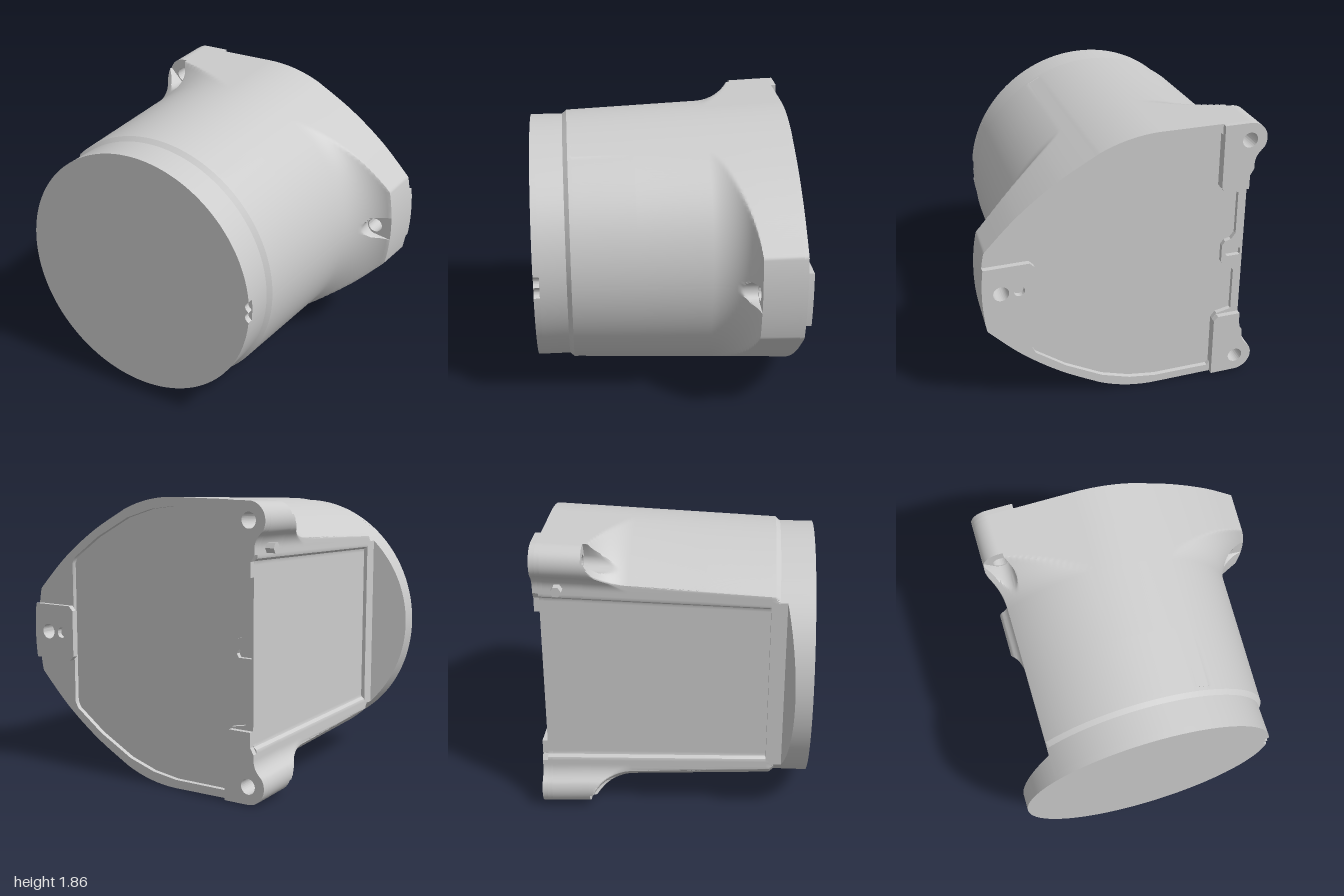
import * as THREE from 'three';
import { toCreasedNormals } from 'three/addons/utils/BufferGeometryUtils.js';

const V = (x, y) => new THREE.Vector2(x, y);
const rad = THREE.MathUtils.degToRad;
const FLAT = -0.61, CAP_R = 0.842, BACK = -0.84, LEDGE = -0.56;
const BOLTS = [V(1.035, 0), V(-0.57, 0.81), V(-0.57, -0.81)];
const material = new THREE.MeshStandardMaterial({ color: 0xcccccc, side: THREE.DoubleSide });

// drafted body radius along the axis
const radius = (z) => 0.93 - 0.043 * (z - BACK);
const draft = (p, z) => {
  const s = radius(z) / 0.93;
  return V(p.x > 0 ? p.x * s : p.x, p.y * s);
};
const mirrored = (half) => [...half, ...half.slice(1, -1).reverse().map((p) => V(p.x, -p.y))];

// flange outline: nose, tangent curve, round back, bolt ear, recessed flat side
function flangeOutline() {
  const p = new THREE.Path();
  p.moveTo(1.155, 0);
  p.quadraticCurveTo(1.155, 0.15, 1.125, 0.285);
  p.splineThru([V(0.91, 0.5), V(0.66, 0.69), V(0.393, 0.843)]);
  p.absarc(0, 0, 0.93, rad(65), rad(90), false);
  p.lineTo(-0.57, 0.925);
  p.absarc(-0.57, 0.81, 0.115, rad(90), rad(215), false);
  p.quadraticCurveTo(FLAT, 0.7, FLAT, 0.64);
  p.lineTo(FLAT, 0.585);
  p.lineTo(-0.585, 0.565);
  p.lineTo(-0.585, 0);
  return mirrored(p.getSpacedPoints(260));
}

function circleHole(c, r) {
  return new THREE.Path().absarc(c.x, c.y, r, 0, Math.PI * 2, true);
}

function slab(name, points, holes, z0, z1, reshape) {
  const shape = points instanceof THREE.Shape ? points : new THREE.Shape(points);
  shape.holes = holes;
  const g = new THREE.ExtrudeGeometry(shape, { depth: z1 - z0, bevelEnabled: false, curveSegments: 64 });
  g.translate(0, 0, z0);
  if (reshape) {
    const a = g.attributes.position;
    for (let i = 0; i < a.count; i++) {
      const q = reshape(a.getX(i), a.getY(i), a.getZ(i));
      a.setXYZ(i, q[0], q[1], q[2]);
    }
  }
  const mesh = new THREE.Mesh(toCreasedNormals(g, rad(30)), material);
  mesh.name = name;
  return mesh;
}

// section radius: drafted cylinder plus concave flare, limited by the flange outline
function bodyRadius(p, z, first) {
  const angle = Math.atan2(p.y, p.x), c = Math.cos(angle);
  let base = first ? CAP_R : radius(z);
  if (c < 0) base = Math.min(base, FLAT / c);
  if (z >= 0.6) return base;
  const t = THREE.MathUtils.clamp((-0.28 - z) / 0.28, 0, 1);
  let r = Math.min(p.length(), base + 0.26 * (1 - Math.sqrt(1 - t * t)));
  // counterbores cut into the flare
  for (const b of BOLTS) {
    const d = angle - Math.atan2(b.y, b.x), off = b.length() * Math.sin(d);
    if (Math.cos(d) > 0 && Math.abs(off) < 0.07) {
      r = Math.min(r, b.length() * Math.cos(d) - Math.sqrt(0.0049 - off * off));
    }
  }
  return r;
}

function housing(outline) {
  const zs = [0.655, 0.625, 0.6, 0.599, 0.2, -0.28];
  for (let k = 1; k <= 20; k++) zs.push(-0.28 - 0.28 * Math.sin((k / 20) * Math.PI / 2));
  const pos = [], idx = [], n = outline.length;
  zs.forEach((z, j) => outline.forEach((o, i) => {
    const p = draft(o, z);
    p.setLength(bodyRadius(p, z, j === 0));
    pos.push(p.x, p.y, z);
    if (j < zs.length - 1) {
      const a = j * n + i, b = j * n + (i + 1) % n;
      idx.push(a, a + n, b, b, a + n, b + n);
    }
  }));
  const g = new THREE.BufferGeometry();
  g.setAttribute('position', new THREE.Float32BufferAttribute(pos, 3));
  g.setIndex(idx);
  const mesh = new THREE.Mesh(toCreasedNormals(g, rad(32)), material);
  mesh.name = 'housing';
  return mesh;
}

// front disc: main part ends at the flat, overhang has a sloped back
function frontCap() {
  const cap = new THREE.Group();
  cap.name = 'frontCap';
  const a = Math.acos(FLAT / CAP_R);
  const main = new THREE.Shape();
  main.absarc(0, 0, CAP_R, -a, a, false);
  cap.add(slab('capBody', main, [], 0.62, 0.83));

  // thin front layer with two small scallops in its edge
  const w = 0.09, edge = CAP_R * Math.cos(w), h = CAP_R * Math.sin(w);
  const front = new THREE.Shape();
  front.moveTo(edge, h);
  front.absarc(0, 0, CAP_R, w, a, false);
  front.absarc(0, 0, CAP_R, -a, -w, false);
  front.quadraticCurveTo(edge - 0.05, -h / 2, edge, 0);
  front.quadraticCurveTo(edge - 0.05, h / 2, edge, h);
  cap.add(slab('capFace', front, [], 0.83, 0.87));

  const overhang = new THREE.Shape();
  overhang.absarc(0, 0, CAP_R, a, Math.PI * 2 - a, false);
  cap.add(slab('capOverhang', overhang, [], 0.7, 0.87,
    (x, y, z) => [x, y, z < 0.8 ? 0.7 + (FLAT - x) * 0.26 : z]));
  return cap;
}

export function createModel() {
  const model = new THREE.Group();
  model.name = 'machineHousing';
  const parts = new THREE.Group();
  parts.name = 'parts';
  parts.position.set(-0.16, 0.93, 0);
  model.add(parts);

  const outline = flangeOutline();
  const taper = (x, y, z) => {
    const p = draft(V(x, y), z);
    return [p.x, p.y, z];
  };
  const boltHoles = () => BOLTS.map((b) => circleHole(b, 0.05));
  parts.add(housing(outline), frontCap());

  // flange with a shallow recess behind a raised rim
  parts.add(slab('flange', outline, boltHoles(), -0.81, LEDGE, taper));
  const recess = mirrored([V(0.84, 0), V(0.84, 0.47), V(0.82, 0.51), V(0.62, 0.655), V(0.37, 0.79),
    V(0.18, 0.85), V(0, 0.875), V(-0.38, 0.875), V(-0.4, 0.855), V(-0.4, 0.5), V(-0.43, 0.46),
    V(-0.53, 0.44), V(-0.53, 0.14), V(-0.5, 0.1), V(-0.46, 0.09), V(-0.44, 0.06), V(-0.44, 0)]);
  const slot = [V(-0.57, -0.025), V(-0.57, 0.025), V(-0.48, 0.025), V(-0.465, 0), V(-0.48, -0.025)];
  parts.add(slab('rearRim', outline,
    [...boltHoles(), new THREE.Path(recess), new THREE.Path(slot)], BACK, -0.81, taper));

  // mounting pads standing off the back
  const ear = outline.filter((p) => p.x < -0.4 && p.y > 0.6);
  const earPad = [V(-0.4, 0.925), ...ear, V(-0.585, 0.565), V(-0.585, 0.47), V(-0.43, 0.47), V(-0.4, 0.5)];
  for (const s of [1, -1]) {
    parts.add(slab(s > 0 ? 'upperEarPad' : 'lowerEarPad', earPad.map((p) => V(p.x, p.y * s)),
      [circleHole(V(-0.57, 0.81 * s), 0.05)], -0.875, BACK));
  }
  const nose = outline.filter((p) => p.x > 1 && Math.abs(p.y) < 0.185).sort((p, q) => p.y - q.y);
  parts.add(slab('nosePad', [...nose, V(0.85, 0.185), V(0.82, 0.155), V(0.82, -0.155), V(0.85, -0.185)],
    [circleHole(BOLTS[0], 0.05), circleHole(V(0.92, 0), 0.035)], -0.875, BACK));

  // small hexagonal fitting on the flat side
  const fitting = new THREE.Mesh(new THREE.CylinderGeometry(0.035, 0.035, 0.09, 6), material);
  fitting.geometry = toCreasedNormals(fitting.geometry, rad(30));
  fitting.name = 'sideFitting';
  fitting.rotation.z = Math.PI / 2;
  fitting.position.set(-0.625, 0.64, -0.72);
  parts.add(fitting);
  return model;
}
